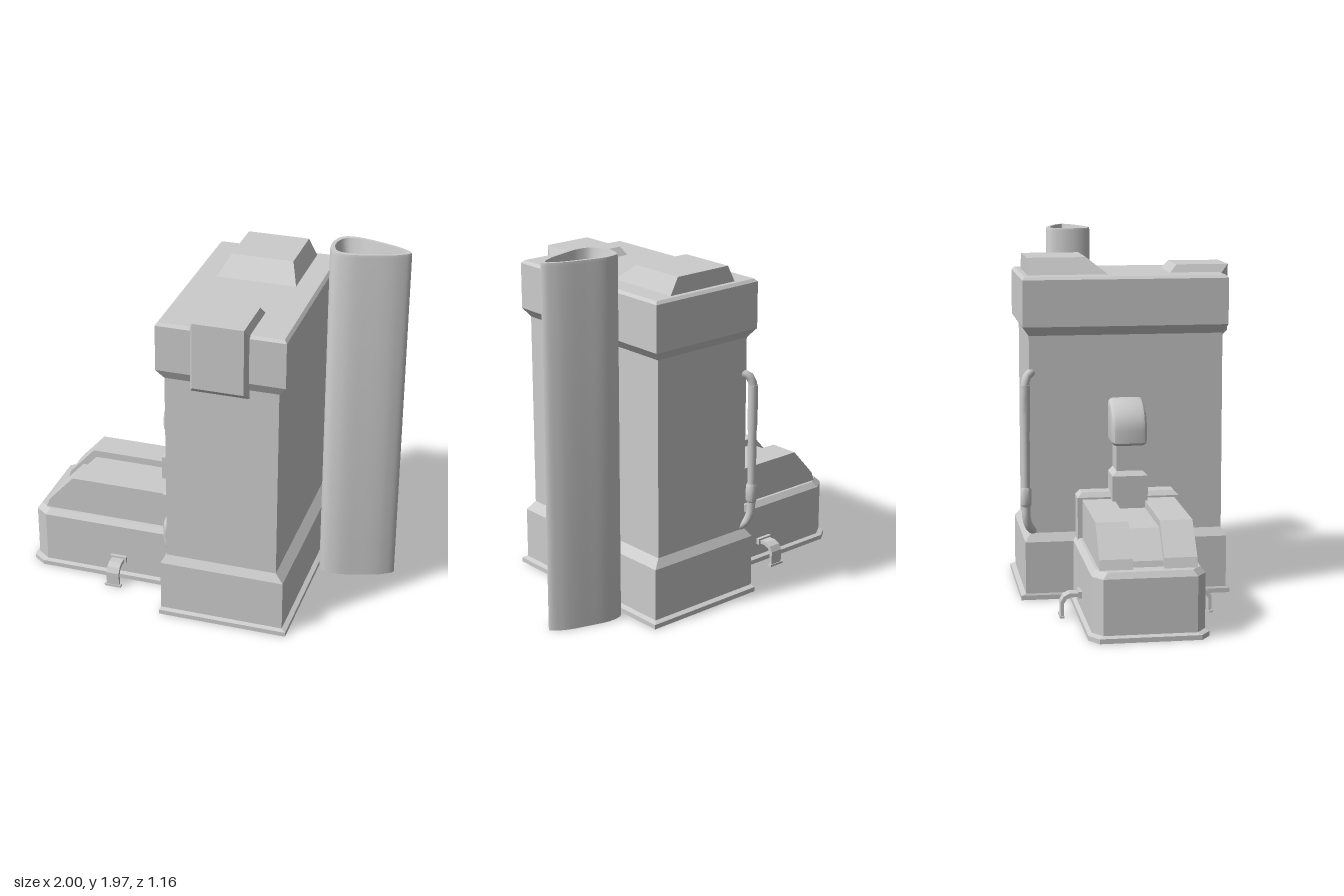
import * as THREE from 'three';
import { toCreasedNormals } from 'three/addons/utils/BufferGeometryUtils.js';

const grey = new THREE.MeshStandardMaterial({ color: 0xcccccc, side: THREE.DoubleSide });

function add(parent, name, geometry) {
  const mesh = new THREE.Mesh(geometry, grey);
  mesh.name = name;
  parent.add(mesh);
  return mesh;
}

// Skin a list of equal-length rings of [x, y, z]; caps are optional
function loft(rings, capStart = false, capEnd = true) {
  const pos = [];
  const tri = (...p) => p.forEach((v) => pos.push(...v));
  const n = rings[0].length;
  for (let k = 0; k + 1 < rings.length; k++) {
    for (let i = 0; i < n; i++) {
      const j = (i + 1) % n, a = rings[k], b = rings[k + 1];
      tri(a[i], a[j], b[j]);
      tri(a[i], b[j], b[i]);
    }
  }
  const first = rings[0], last = rings[rings.length - 1];
  for (let i = 1; i + 1 < n; i++) {
    if (capStart) tri(first[0], first[i + 1], first[i]);
    if (capEnd) tri(last[0], last[i], last[i + 1]);
  }
  const g = new THREE.BufferGeometry();
  g.setAttribute('position', new THREE.Float32BufferAttribute(pos, 3));
  g.computeVertexNormals();
  return g;
}

// Horizontal rectangle ring
const rect = (y, x0, x1, z0, z1) => [[x0, y, z1], [x1, y, z1], [x1, y, z0], [x0, y, z0]];

// Horizontal rectangle ring with both outer corners cut off
const cutRect = (y, x0, x1, z0, z1) => [
  [x0 + 0.07, y, z1], [x1, y, z1], [x1, y, z0], [x0 + 0.07, y, z0], [x0, y, z0 + 0.05], [x0, y, z1 - 0.05],
];

// Side profile in x, y extruded from z0 to z1
function slab(points, z0, z1, bevel = 0) {
  const shape = new THREE.Shape(points.map(([x, y]) => new THREE.Vector2(x, y)));
  const g = new THREE.ExtrudeGeometry(shape, {
    depth: z1 - z0 - 2 * bevel, bevelEnabled: bevel > 0, bevelSize: bevel,
    bevelThickness: bevel, bevelOffset: -bevel, bevelSegments: 3,
  });
  return g.translate(0, 0, z0 + bevel);
}

function tube(points, radius) {
  const curve = new THREE.CatmullRomCurve3(points.map((p) => new THREE.Vector3(...p)), false, 'centripetal');
  return new THREE.TubeGeometry(curve, 32, radius, 16);
}

function buildTower(root) {
  const tower = new THREE.Group();
  tower.name = 'tower';
  root.add(tower);
  add(tower, 'towerBody', loft([
    rect(0, -0.14, 0.575, -0.58, 0.57),
    rect(0.025, -0.14, 0.575, -0.58, 0.57),
    rect(0.035, -0.135, 0.55, -0.555, 0.55),
    rect(0.32, -0.135, 0.55, -0.555, 0.55),
    rect(0.365, -0.105, 0.505, -0.525, 0.525),
    rect(1.44, -0.105, 0.505, -0.525, 0.525),
    rect(1.49, -0.145, 0.545, -0.56, 0.55),
    rect(1.74, -0.145, 0.545, -0.56, 0.55),
    rect(1.755, -0.13, 0.53, -0.545, 0.535),
  ]));
  add(tower, 'roofHatch', loft([
    rect(1.75, -0.02, 0.42, -0.52, -0.08),
    rect(1.845, 0.03, 0.37, -0.52, -0.2),
  ]));
  // Bracket folded over the front edge: [wall z, wall y, outer z, outer y]
  const stations = [
    [0.26, 1.75, 0.3, 1.797], [0.545, 1.75, 0.585, 1.797], [0.545, 1.4, 0.585, 1.435],
  ];
  add(tower, 'frontBracket', loft(stations.map(([wz, wy, oz, oy]) => [
    [0.04, wy, wz], [0.355, wy, wz], [0.335, oy, oz], [0.062, oy, oz],
  ]).reverse(), true, true));
}

function buildChimney(root) {
  const side = [[0.94, -0.272], [0.8, -0.322], [0.68, -0.349], [0.605, -0.335], [0.575, -0.285]];
  const mirrored = side.map(([x, z]) => [x, -0.45 - z]).reverse();
  const outline = [[0.995, -0.225], ...side, [0.566, -0.225], ...mirrored];
  const curve = new THREE.CatmullRomCurve3(outline.map(([x, z]) => new THREE.Vector3(x, 0, z)), true);
  const pts = curve.getSpacedPoints(72).slice(0, 72);
  const ring = (y, sx, sz) => pts.map((p) => [0.77 + (p.x - 0.77) * sx, y, -0.225 + (p.z + 0.225) * sz]);
  add(root, 'chimney', toCreasedNormals(loft([
    ring(0, 1, 1), ring(1.95, 1, 1), ring(1.965, 0.985, 0.97),
    ring(1.965, 0.88, 0.8), ring(1.94, 0.85, 0.74), ring(1.85, 0.72, 0.5),
  ]), 0.6));
}

function buildAnnex(root) {
  const annex = new THREE.Group();
  annex.name = 'annex';
  root.add(annex);
  add(annex, 'annexBase', loft([
    cutRect(0, -1, -0.11, -0.315, 0.305),
    cutRect(0.025, -1, -0.11, -0.315, 0.305),
    cutRect(0.035, -0.98, -0.11, -0.295, 0.285),
    cutRect(0.325, -0.98, -0.11, -0.295, 0.285),
    cutRect(0.355, -0.96, -0.11, -0.27, 0.262),
  ]));
  // Two raised humps with a sunken channel between them
  const hump = [[-0.92, 0.35], [-0.1, 0.35], [-0.1, 0.565], [-0.755, 0.565], [-0.9, 0.405]];
  const channel = [[-0.88, 0.35], [-0.1, 0.35], [-0.1, 0.525], [-0.74, 0.525], [-0.87, 0.385]];
  add(annex, 'backHump', slab(hump, -0.255, -0.085));
  add(annex, 'frontHump', slab(hump, 0.075, 0.245));
  add(annex, 'channelFloor', slab(channel, -0.085, 0.075));
  add(annex, 'collar', loft([
    rect(0.3, -0.215, -0.1, -0.28, 0.27),
    rect(0.575, -0.215, -0.1, -0.28, 0.27),
    rect(0.6, -0.195, -0.1, -0.255, 0.245),
  ]));

  // Bent straps on both long sides
  for (const s of [1, -1]) {
    const strap = new THREE.Group();
    strap.name = s > 0 ? 'frontStrap' : 'backStrap';
    strap.position.set(-0.475, 0, -0.005);
    strap.rotation.y = s > 0 ? -Math.PI / 2 : Math.PI / 2;
    const profile = [
      [0.28, 0.11], [0.345, 0.11], [0.37, 0.1], [0.385, 0.075], [0.385, 0],
      [0.402, 0], [0.402, 0.085], [0.385, 0.115], [0.355, 0.13], [0.28, 0.13],
    ];
    add(strap, 'strapBand', slab(profile, -0.036, 0.036));
    add(strap, 'strapPlate', new THREE.BoxGeometry(0.025, 0.035, 0.094)).position.set(0.297, 0.122, 0);
    add(strap, 'strapFoot', new THREE.BoxGeometry(0.022, 0.012, 0.094)).position.set(0.396, 0.006, 0);
    annex.add(strap);
  }
}

function buildDuct(root) {
  const duct = new THREE.Group();
  duct.name = 'duct';
  root.add(duct);
  add(duct, 'ductShaft', loft([
    rect(0.5, -0.28, -0.1, -0.1, 0.09),
    rect(0.7, -0.28, -0.1, -0.1, 0.09),
    rect(0.725, -0.255, -0.1, -0.075, 0.065),
    rect(0.87, -0.255, -0.1, -0.075, 0.065),
  ]));
  // Hood curving into the tower wall
  const hood = [[-0.06, 0.86], [-0.255, 0.86], [-0.275, 0.875], [-0.275, 0.945]];
  for (let i = 1; i <= 8; i++) {
    const a = (i / 8) * Math.PI / 2;
    hood.push([-0.095 - 0.18 * Math.cos(a), 0.945 + 0.155 * Math.sin(a)]);
  }
  hood.push([-0.06, 1.1]);
  add(duct, 'ductHood', toCreasedNormals(slab(hood, -0.1, 0.09, 0.028), 0.5));
}

function buildPipes(root) {
  const pipes = new THREE.Group();
  pipes.name = 'pipes';
  root.add(pipes);
  // Corner pipe, both ends bending into the tower
  const cx = -0.132, cz = -0.55;
  add(pipes, 'cornerPipe', tube([
    [-0.08, 1.245, -0.5], [-0.115, 1.23, -0.535], [cx, 1.18, cz], [cx, 0.9, cz], [cx, 0.52, cz],
    [-0.128, 0.45, -0.547], [-0.112, 0.4, -0.53], [-0.08, 0.37, -0.5],
  ], 0.023));
  add(pipes, 'upperSleeve', new THREE.CylinderGeometry(0.026, 0.026, 0.25, 20)).position.set(cx, 1.055, cz);
  const joint = [[0, 0], [0.024, 0], [0.03, 0.01], [0.03, 0.09], [0.024, 0.105], [0, 0.105]];
  const jointGeometry = new THREE.LatheGeometry(joint.map(([r, y]) => new THREE.Vector2(r, y)), 20);
  add(pipes, 'pipeJoint', toCreasedNormals(jointGeometry, 0.6)).position.set(cx, 0.52, cz);
  // Short pipe from the collar to the tower base
  add(pipes, 'shortPipe', tube([
    [-0.172, 0.43, 0.25], [-0.172, 0.43, 0.29], [-0.172, 0.41, 0.312], [-0.172, 0.33, 0.314],
    [-0.165, 0.29, 0.314], [-0.14, 0.268, 0.314], [-0.1, 0.262, 0.314],
  ], 0.024));
}

export function createModel() {
  const root = new THREE.Group();
  root.name = 'boilerHouse';
  buildTower(root);
  buildChimney(root);
  buildAnnex(root);
  buildDuct(root);
  buildPipes(root);
  return root;
}
